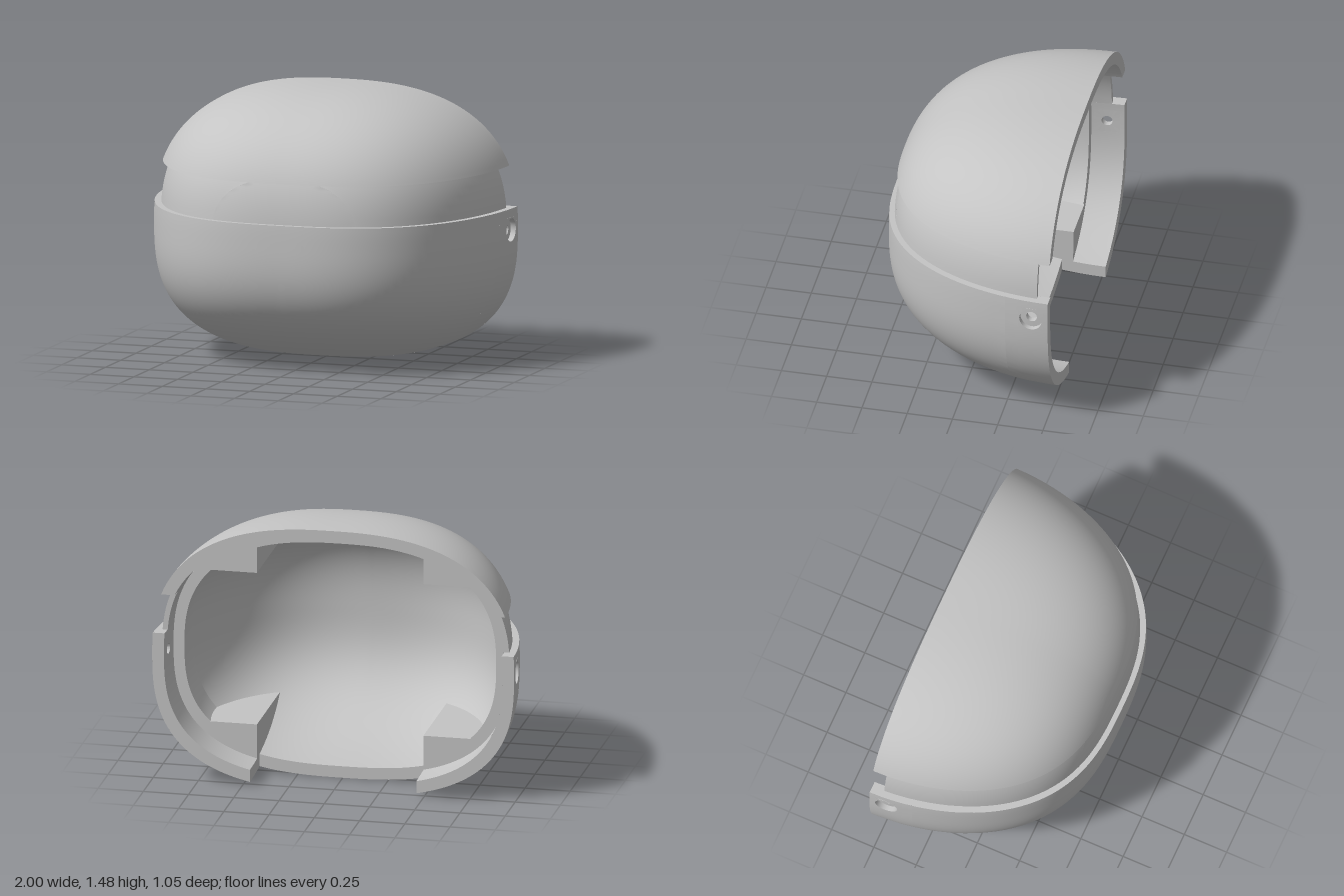
import * as THREE from 'three';
import { toCreasedNormals } from 'three/addons/utils/BufferGeometryUtils.js';

const TAPER = 2.8;                                 // roundness along the shell
const SIDE_M = 1.9, TOP_M = 2.55, LOW_M = 2.1;     // depth curves of sides, top and underside
const YC = 0.72, BACK = -0.526, LEDGE = -0.345, NOTCH_END = -0.285, RAMP_END = -0.1, BAND_BACK = -0.457;
const WALL = 0.065, LIP = 0.125, BAND = 0.037;
const LOW = 0.83, HIGH = 1.05, NOTCH = 0.46, HP = Math.PI / 2;
const lerp = THREE.MathUtils.lerp;
const V = (x, y, z) => new THREE.Vector3(x, y, z);

// Half-rounded shell; "off" is the distance inwards from the outer skin
const round = s => s > 0 ? 2.55 : 2.75;            // roundness across, above and below
const radZ = off => 1.05 - 0.75 * off;
const root = (v, p) => Math.pow(Math.max(0, v), 1 / p);
const shrink = (off, z, m) =>
  root(1 - Math.pow(Math.min(1, Math.max(0, (z - BACK) / radZ(off))), m), TAPER);
const halfX = (off, z) => (1 - off) * shrink(off, z, SIDE_M);
const halfY = (off, s, z) => s > 0
  ? (0.755 - off) * shrink(off, z, TOP_M) : (0.733 - off) * shrink(off, z, LOW_M);

function point(off, t, z) {
  const c = Math.max(0, Math.cos(t)), s = Math.sin(t), n = round(s);
  return V(halfX(off, z) * Math.pow(c, 2 / n),
    YC + halfY(off, s, z) * Math.sign(s) * Math.pow(Math.abs(s), 2 / n), z);
}
// Angle of a given height, or of a given half width on the underside
function angleY(off, y, z) {
  const s = y - YC, h = halfY(off, s, z);
  const q = h > 1e-6 ? Math.min(1, Math.abs(s) / h) : 1;
  return Math.sign(s) * Math.asin(Math.pow(q, round(s) / 2));
}
const angleX = (off, x, z, side = -1) =>
  side * Math.acos(Math.min(1, Math.pow(x / halfX(off, z), round(side) / 2)));
const xAt = (off, y, z) => halfX(off, z) *
  root(1 - Math.pow(Math.abs(y - YC) / halfY(off, y - YC, z), round(y - YC)), round(y - YC));
const endZ = (off, y) => BACK + radZ(off) *
  root(1 - Math.pow((y - YC) / (0.755 - off), TAPER), TOP_M);

// Depth between two limits, crowded towards the far end
function depth(off, z0, z1, v, power = 2.4) {
  const ang = z => Math.asin(Math.min(1, (z - BACK) / radZ(off)));
  return BACK + radZ(off) * Math.sin(lerp(ang(z0), ang(z1), 1 - Math.pow(1 - v, power)));
}

// Grid of triangles from f(u, v), mirrored to the other side
function grid(out, f, nu, nv, flip = false, skip = null) {
  const tri = (a, b, c) => {
    if (b.clone().sub(a).cross(c.clone().sub(a)).length() < 1e-12) return;
    for (const p of flip ? [a, c, b] : [a, b, c]) out.push(p.x, p.y, p.z);
    for (const p of flip ? [a, b, c] : [a, c, b]) out.push(-p.x, p.y, p.z);
  };
  for (let i = 0; i < nu; i++) for (let j = 0; j < nv; j++) {
    if (skip && skip(i, j)) continue;
    const a = f(i / nu, j / nv), b = f((i + 1) / nu, j / nv);
    const c = f((i + 1) / nu, (j + 1) / nv), d = f(i / nu, (j + 1) / nv);
    tri(a, b, c);
    tri(a, c, d);
  }
}

// Curved skin between two angle rules and two depths
function skin(out, off, lo, hi, z0, z1, nu, nv, flip = false, power = 2.4) {
  grid(out, (u, v) => {
    const z = depth(off, z0, z1, v, power);
    return point(off, lerp(lo(off, z), hi(off, z), u), z);
  }, nu, nv, flip);
}
// Flat face across the wall at one depth, facing backwards
function rim(out, z, offIn, offOut, lo, hi, n = 40) {
  grid(out, (u, v) => {
    const off = lerp(offIn, offOut, v);
    return point(off, lerp(lo(off, z), hi(off, z), u), z);
  }, n, 1);
}
// Level edge of the wall, running from the back to the front centre
function edge(out, y, flip) {
  grid(out, (u, v) => {
    const off = lerp(WALL, 0, v), z = depth(off, BACK, endZ(off, y), u);
    return point(off, angleY(off, y, z), z);
  }, 56, 1, flip);
}

const bottom = () => -HP, top = () => HP;
const atY = y => (off, z) => angleY(off, y, z);
const notchSide = (off, z) => angleX(off, NOTCH, z);

function lowerShell(out) {
  const HZ = -0.43, HY = 0.715, R = 0.07;
  // Rear walls, leaving a square around each pivot hole
  for (const [off, end] of [[0, NOTCH_END], [WALL, LEDGE]]) {
    const zs = [BACK, HZ - R, HZ + R, end];
    grid(out, (u, v) => {
      const i = Math.round(u * 36), z = zs[Math.round(v * 3)];
      const a = notchSide(off, z), b = angleY(off, HY - R, z);
      const c = angleY(off, HY + R, z), d = angleY(off, LOW, z);
      const t = i <= 30 ? lerp(a, b, i / 30) : i <= 34 ? lerp(b, c, (i - 30) / 4) : lerp(c, d, (i - 34) / 2);
      return point(off, t, z);
    }, 36, 3, off > 0, (i, j) => j === 1 && i >= 30 && i < 34);
  }
  // Stepped pivot hole
  const steps = [[0, WALL], [0.03, WALL], [0.03, 0.03], [0.063, 0.03], [0.063, 0], [0, 0]];
  grid(out, (u, v) => {
    const [r, off] = steps[Math.round(v * 5)], a = u * Math.PI * 2;
    const q = r || R / Math.max(Math.abs(Math.cos(a)), Math.abs(Math.sin(a)));
    const y = HY + q * Math.sin(a), z = HZ + q * Math.cos(a);
    return V(xAt(off, y, z), y, z);
  }, 32, 5);
  // Front bowl
  const zTop = endZ(0, LOW);
  skin(out, 0, bottom, atY(LOW), NOTCH_END, zTop, 48, 44);
  skin(out, 0, bottom, top, zTop, BACK + radZ(0), 48, 12, false, 1);
  edge(out, LOW, false);
  rim(out, BACK, WALL, 0, notchSide, atY(LOW));
  // Notch in the underside
  grid(out, (u, v) => {
    const off = lerp(0, WALL, v), z = lerp(BACK, NOTCH_END, u);
    return point(off, notchSide(off, z), z);
  }, 6, 1);
  rim(out, NOTCH_END, WALL, 0, bottom, notchSide, 16);
}

function upperShell(out) {
  skin(out, 0, atY(HIGH), top, BACK, endZ(0, HIGH), 40, 56);
  skin(out, WALL, atY(HIGH), top, BACK, LEDGE, 40, 4, true, 1);
  edge(out, HIGH, true);
  rim(out, BACK, WALL, 0, atY(HIGH), top);
}

function middleBand(out) {
  const lo = LOW - 0.015, hi = HIGH + 0.015, zMid = endZ(BAND, hi);
  skin(out, BAND, atY(lo), atY(hi), BAND_BACK, zMid, 6, 44);
  skin(out, BAND, atY(lo), top, zMid, endZ(BAND, lo), 12, 24);
  skin(out, WALL, atY(LOW), atY(HIGH), BAND_BACK, LEDGE, 6, 3, true, 1);
  rim(out, BAND_BACK, WALL, BAND, atY(LOW), atY(HIGH), 6);
}

function innerCavity(out) {
  skin(out, WALL, bottom, notchSide, NOTCH_END, RAMP_END, 20, 5, true, 1);
  skin(out, WALL, bottom, top, RAMP_END, BACK + radZ(WALL), 72, 36, true, 1);
}

// Raised lip that slopes back down to the cavity wall
function innerLip(out) {
  const height = z => lerp(LIP, WALL, (z - LEDGE) / (RAMP_END - LEDGE));
  rim(out, LEDGE, LIP, WALL, notchSide, top, 72);
  grid(out, (u, v) => {
    const z = lerp(LEDGE, RAMP_END, v), off = height(z);
    return point(off, lerp(notchSide(off, z), HP, u), z);
  }, 72, 6, true);
  grid(out, (u, v) => {
    const z = lerp(LEDGE, RAMP_END, u), off = lerp(WALL, height(z), v);
    return point(off, notchSide(off, z), z);
  }, 6, 1);
}

// Corner block, trimmed to the curve of the shell
function cornerBlock(out, side) {
  const off = 0.05, x0 = 0.46, rise = 0.43, y0 = YC + side * rise, z0 = LEDGE - 0.004;
  const flip = side > 0, n = round(side);
  // Depth at which the inner edge of the block meets the shell
  let z1 = z0, far = BACK + radZ(off);
  for (let i = 0; i < 40; i++) {
    const z = (z1 + far) / 2;
    if (xAt(off, y0, z) > x0) z1 = z; else far = z;
  }
  const yAt = (o, z) => YC + side * halfY(o, side, z) * root(1 - Math.pow(x0 / halfX(o, z), n), n);
  // The rear end stays behind the lip, the rest reaches into the wall
  const trim = u => u === 0 ? LIP - 0.005 : off;
  grid(out, (u, v) => {
    const z = lerp(z0, z1, u);
    return V(lerp(x0, xAt(trim(u), y0, z), v), y0, z);
  }, 20, 1, flip);
  grid(out, (u, v) => {
    const z = lerp(z0, z1, u);
    return V(x0, lerp(yAt(trim(u), z), y0, v), z);
  }, 20, 1, flip);
  const tA = angleX(trim(0), x0, z0, side), tB = angleY(trim(0), y0, z0);
  grid(out, (u, v) => V(x0, y0, z0).lerp(point(trim(0), lerp(tA, tB, u), z0), v), 14, 1, !flip);
}

export function createModel() {
  const group = new THREE.Group();
  const grey = new THREE.MeshStandardMaterial({ color: 0xc4c4c4, side: THREE.DoubleSide });
  grey.name = 'plain grey';
  const add = (name, build) => {
    const out = [];
    build(out);
    const geo = new THREE.BufferGeometry();
    geo.setAttribute('position', new THREE.Float32BufferAttribute(out, 3));
    const mesh = new THREE.Mesh(toCreasedNormals(geo, 0.6), grey);
    mesh.name = name;
    group.add(mesh);
  };
  add('lowerShell', lowerShell);
  add('upperShell', upperShell);
  add('middleBand', middleBand);
  add('innerCavity', innerCavity);
  add('innerLip', innerLip);
  add('lowerCornerBlocks', out => cornerBlock(out, -1));
  add('upperCornerBlocks', out => cornerBlock(out, 1));
  return group;
}
